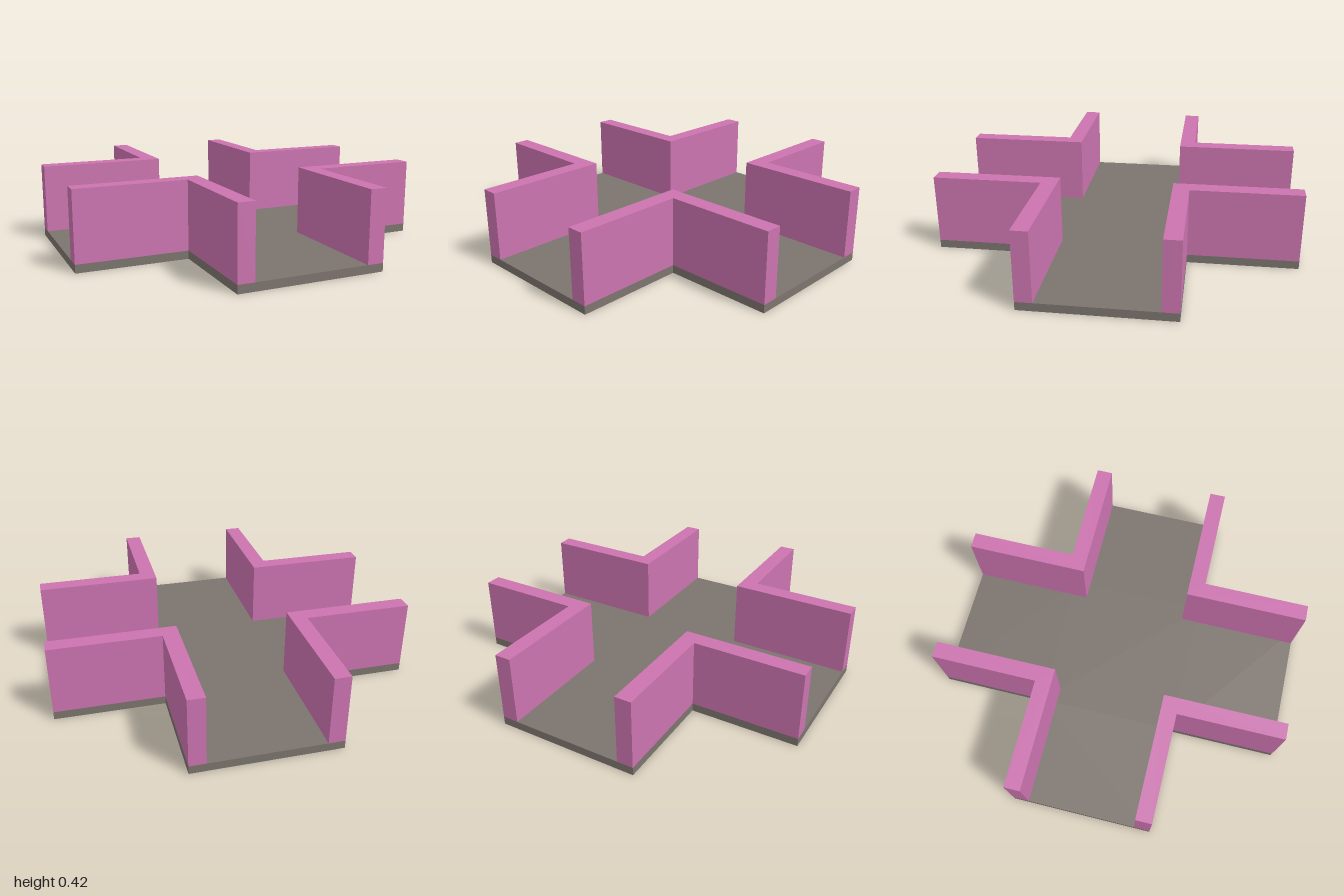
import * as THREE from 'three';

const HALF = 1;        // half length of each corridor
const OUTER = 0.4;     // outer face of the walls
const INNER = 0.31;    // inner face of the walls
const FLOOR_TOP = 0.045;
const WALL_TOP = 0.425;

// Extrudes a ground plan upwards from y0 to y1
function extrudePlan(points, y0, y1, material, name) {
  const shape = new THREE.Shape(points.map(([x, y]) => new THREE.Vector2(x, y)));
  const geometry = new THREE.ExtrudeGeometry(shape, { depth: y1 - y0, bevelEnabled: false });
  geometry.rotateX(-Math.PI / 2).translate(0, y0, 0);
  const mesh = new THREE.Mesh(geometry, material);
  mesh.name = name;
  return mesh;
}

export function createModel() {
  const group = new THREE.Group();
  group.name = 'corridorCrossing';
  const floorMaterial = new THREE.MeshStandardMaterial({ color: 0x7c746e });
  const wallMaterial = new THREE.MeshStandardMaterial({ color: 0xcc74b0 });

  // Cross-shaped floor slab: one arm's three corners, turned four times
  const cross = [];
  for (let i = 0; i < 4; i++) {
    const c = [1, 0, -1, 0][i], s = [0, 1, 0, -1][i];
    for (const [x, y] of [[HALF, -OUTER], [HALF, OUTER], [OUTER, OUTER]]) {
      cross.push([x * c - y * s, x * s + y * c]);
    }
  }
  group.add(extrudePlan(cross, 0, FLOOR_TOP, floorMaterial, 'floor'));

  // L-shaped wall in each inner corner
  const corner = [
    [INNER, INNER], [HALF, INNER], [HALF, OUTER],
    [OUTER, OUTER], [OUTER, HALF], [INNER, HALF],
  ];
  const names = ['wallBackLeft', 'wallBackRight', 'wallFrontRight', 'wallFrontLeft'];
  names.forEach((name, i) => {
    const wall = extrudePlan(corner, FLOOR_TOP, WALL_TOP, wallMaterial, name);
    wall.rotation.y = i * Math.PI / 2;
    group.add(wall);
  });

  return group;
}
